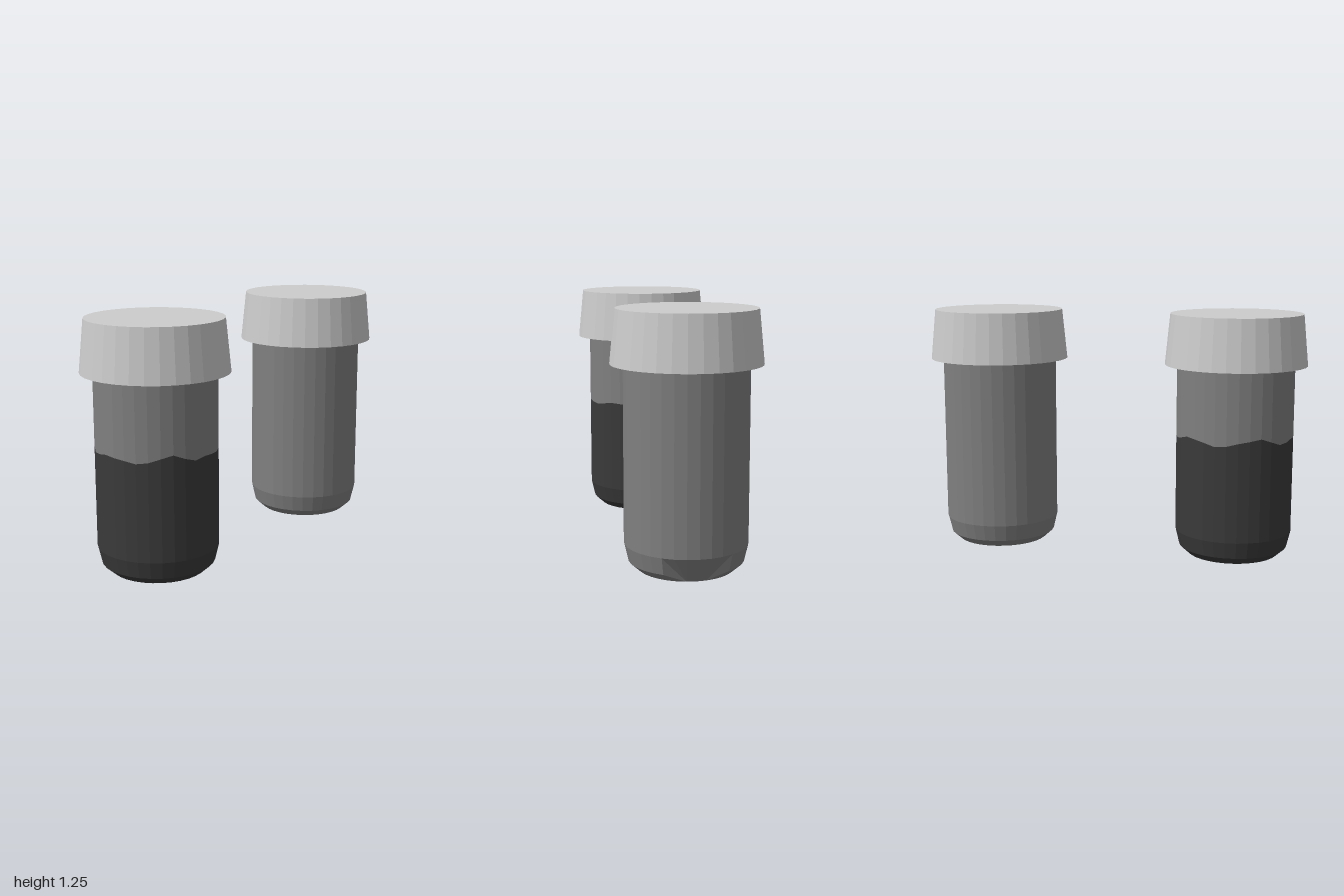
import * as THREE from 'three';

const SIDES = 32, RADIUS = 0.3, CAP_BASE = 0.985;

const material = (name, color) => {
  const m = new THREE.MeshStandardMaterial({ color, flatShading: true });
  m.name = name;
  return m;
};

// Ring of points; height may be a number or one value per side
function ring(radius, height) {
  return Array.from({ length: SIDES }, (_, k) => {
    const a = (k / SIDES) * Math.PI * 2;
    const y = Array.isArray(height) ? height[k] : height;
    return new THREE.Vector3(Math.cos(a) * radius, y, Math.sin(a) * radius);
  });
}

// Skin between rings from bottom to top, with an optional flat base
function loft(rings, closeBase) {
  const positions = [], index = [];
  rings.forEach((r) => r.forEach((p) => positions.push(p.x, p.y, p.z)));
  for (let j = 0; j < rings.length - 1; j++) {
    for (let k = 0; k < SIDES; k++) {
      const n = (k + 1) % SIDES;
      const a = j * SIDES + k, b = j * SIDES + n;
      const c = a + SIDES, d = b + SIDES;
      // mirror the diagonals about the x axis
      if (k < SIDES / 2) index.push(a, d, b, a, c, d);
      else index.push(a, c, b, b, c, d);
    }
  }
  if (closeBase) {
    for (let k = 1; k < SIDES - 1; k++) index.push(0, k, k + 1);
  }
  const g = new THREE.BufferGeometry();
  g.setAttribute('position', new THREE.Float32BufferAttribute(positions, 3));
  g.setIndex(index);
  const flat = g.toNonIndexed();
  flat.computeVertexNormals();
  return flat;
}

// Bevelled foot of a jar
const footRings = () => [ring(0.235, 0), ring(0.28, 0.04), ring(RADIUS, 0.125)];

// Uneven fill line around the jar, starting at +x and turning toward +z
const fillLine = [
  0.62, 0.615, 0.615, 0.622, 0.625, 0.615, 0.608, 0.612,
  0.615, 0.605, 0.622, 0.645, 0.63, 0.612, 0.605, 0.615,
  0.62, 0.625, 0.615, 0.61, 0.63, 0.65, 0.64, 0.63,
  0.615, 0.61, 0.625, 0.635, 0.64, 0.625, 0.615, 0.62,
];

export function createModel() {
  const group = new THREE.Group();
  const capMat = material('light grey cap', 0xcccccc);
  const glassMat = material('grey jar', 0x808080);
  const fillMat = material('dark filling', 0x3a3a3a);

  const add = (parent, name, geometry, mat) => {
    const mesh = new THREE.Mesh(geometry, mat);
    mesh.name = name;
    parent.add(mesh);
    return mesh;
  };

  const makeJar = (name, x) => {
    const jar = new THREE.Group();
    jar.name = name;
    jar.position.x = x;
    group.add(jar);
    // Tapered cap, wider at its lower rim
    const cap = add(jar, 'cap', new THREE.CylinderGeometry(0.337, 0.363, 0.26, SIDES), capMat);
    cap.position.y = CAP_BASE + 0.13;
    return jar;
  };

  // Filled jar: dark lower part with a wavy fill line, plain wall above
  const filled = makeJar('filledJar', -0.637);
  const line = ring(RADIUS, fillLine);
  add(filled, 'filling', loft([...footRings(), line], true), fillMat);
  add(filled, 'upperWall', loft([line, ring(RADIUS, CAP_BASE + 0.005)], false), glassMat);

  // Empty jar: foot chipped flat on its outer side
  const empty = makeJar('emptyJar', 0.637);
  const foot = footRings();
  for (let k = -2; k <= 2; k++) {
    const from = (k + SIDES) % SIDES, to = (Math.sign(k) + SIDES) % SIDES;
    foot[1][from].copy(foot[0][to]);
  }
  add(empty, 'wall', loft([...foot, ring(RADIUS, CAP_BASE + 0.005)], true), glassMat);

  return group;
}
